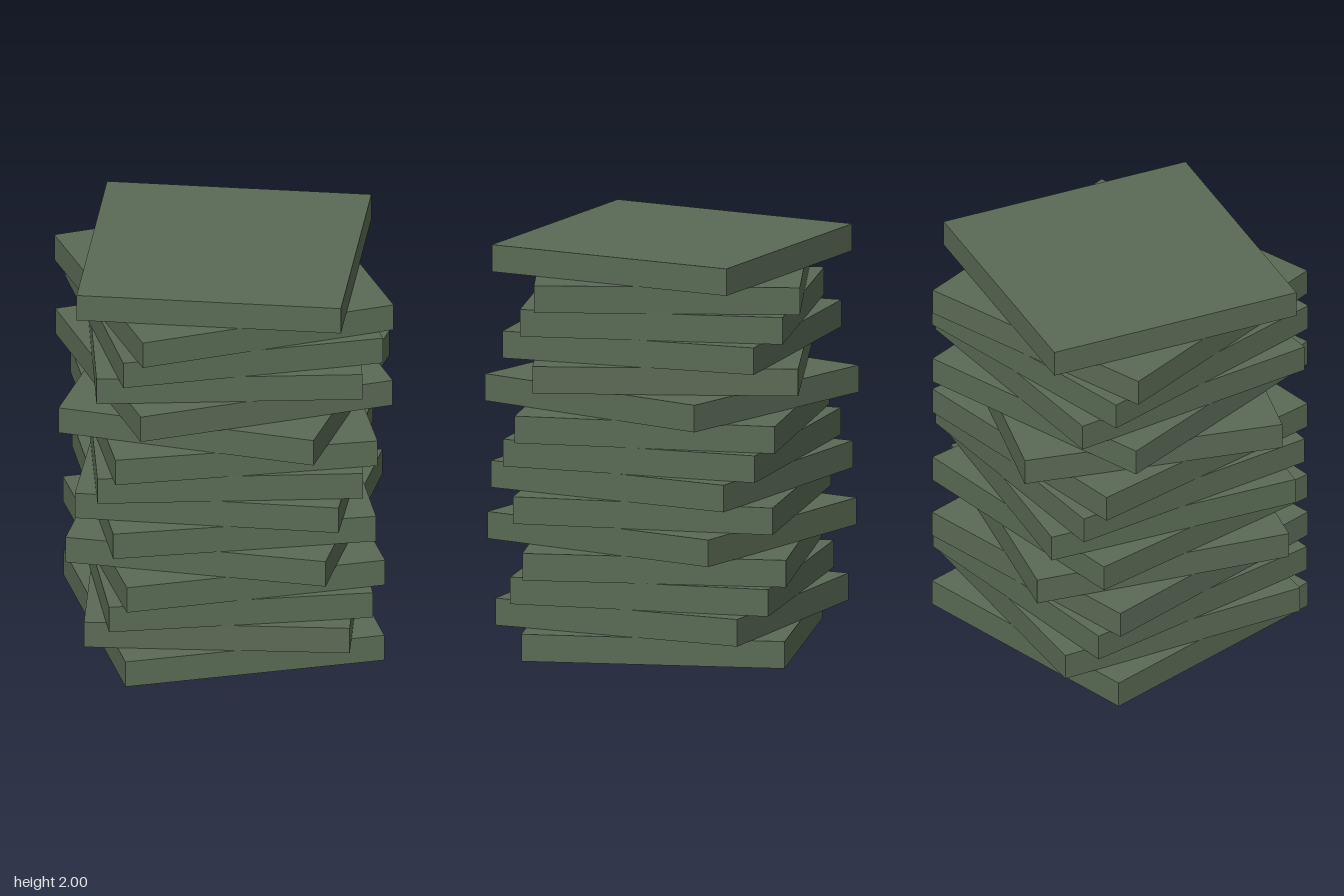
import * as THREE from 'three';

export function createModel() {
  const model = new THREE.Group();
  model.name = 'twistedSlabTower';

  const mossGreen = new THREE.MeshStandardMaterial({ color: 0x5a6b55 });
  mossGreen.name = 'mossGreen';

  // Turn of each slab about the tower axis in degrees, from the ground up
  const turns = [0, -16.5, -6.1, 0.5, -25.7, -4.5, -20.9, -10.7, -3.7, -30, 5.3, -11.1, -0.8, 6, -20];
  const side = 1.288;
  const height = 2 / turns.length;
  const slabGeometry = new THREE.BoxGeometry(side, height, side);

  // Square slabs stacked on a common centre line
  turns.forEach((degrees, i) => {
    const slab = new THREE.Mesh(slabGeometry, mossGreen);
    slab.name = `slab${i + 1}`;
    slab.position.y = (i + 0.5) * height;
    slab.rotation.y = THREE.MathUtils.degToRad(degrees);
    model.add(slab);
  });

  return model;
}
